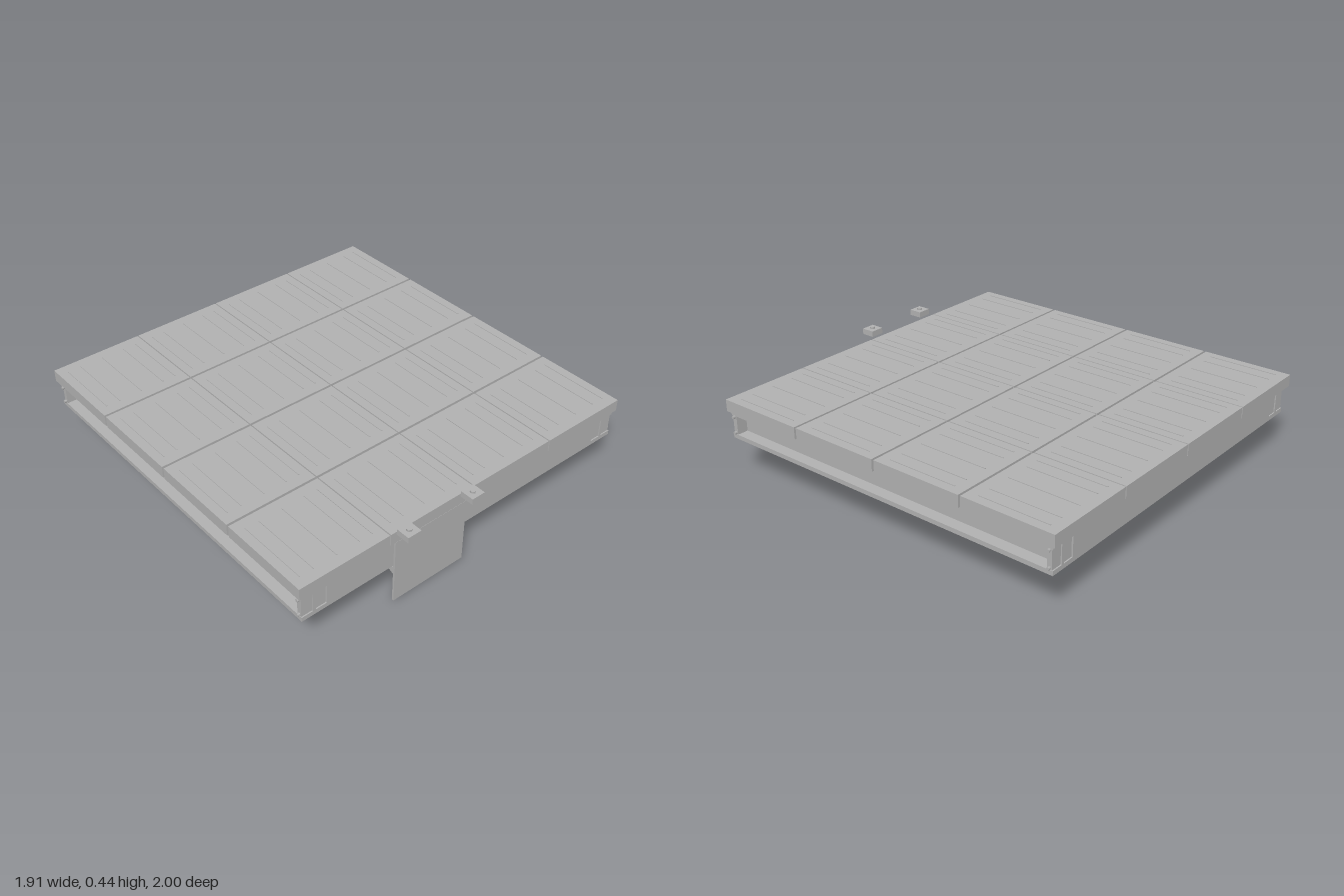
import * as THREE from 'three';

export function createModel() {
  const root = new THREE.Group();
  const steel = new THREE.MeshStandardMaterial({ color: 0xb0b0b0 });
  steel.name = 'grey steel';

  // Box given by its limits on each axis
  function box(name, x0, x1, y0, y1, z0, z1, parent = root) {
    const m = new THREE.Mesh(new THREE.BoxGeometry(x1 - x0, y1 - y0, z1 - z0), steel);
    m.position.set((x0 + x1) / 2, (y0 + y1) / 2, (z0 + z1) / 2);
    m.name = name;
    parent.add(m);
    return m;
  }
  function bolt(name, x, y, z, r, h, axis) {
    const m = new THREE.Mesh(new THREE.CylinderGeometry(r, r, h, 6), steel);
    if (axis === 'x') m.rotation.z = Math.PI / 2;
    if (axis === 'z') m.rotation.x = Math.PI / 2;
    m.position.set(x, y, z);
    m.name = name;
    root.add(m);
  }
  // I-section running along z
  function beam(name, x, width, y0, y1, z0, z1, t) {
    const g = new THREE.Group();
    g.name = name;
    const h = width / 2;
    box('bottomFlange', x - h, x + h, y0, y0 + t, z0, z1, g);
    box('topFlange', x - h, x + h, y1 - t, y1, z0, z1, g);
    box('web', x - t / 3, x + t / 3, y0 + t, y1 - t, z0, z1, g);
    root.add(g);
  }

  // Deck panels in a four by four grid, with raised grip strips
  const back = -1, front = 0.915, gap = 0.012;
  const depth = (front - back - 3 * gap) / 4;
  for (let i = 0; i < 4; i++) {
    for (let j = 0; j < 4; j++) {
      const x = -0.72 + i * 0.48, z = back + depth / 2 + j * (depth + gap);
      box('deckPanel', x - 0.237, x + 0.237, 0.34, 0.4, z - depth / 2, z + depth / 2);
      for (const o of [-0.19, -0.12, 0, 0.12, 0.19])
        box('gripStrip', x + o - 0.002, x + o + 0.002, 0.4, 0.403, z - 0.18, z + 0.18);
    }
  }

  // Side beams with end plates and bolts
  for (const s of [-1, 1]) {
    beam('sideBeam', s * 0.875, 0.13, 0.2, 0.34, -0.98, 0.905, 0.022);
    for (const z of [-0.962, 0.887]) {
      box('endPlate', s * 0.875 - 0.063, s * 0.875 + 0.063, 0.222, 0.318, z - 0.012, z + 0.012);
      for (const y of [0.23, 0.312]) bolt('endBolt', s * 0.94, y, z, 0.008, 0.02, 'x');
    }
  }

  // Front and back channels, open towards the inside
  for (const [outer, s] of [[0.905, -1], [-0.98, 1]]) {
    const lim = (a, b) => [Math.min(a, b), Math.max(a, b)];
    const inner = lim(outer, outer + s * 0.13), web = lim(outer, outer + s * 0.014);
    box('channelWeb', -0.81, 0.81, 0.222, 0.318, ...web);
    box('channelBottom', -0.81, 0.81, 0.2, 0.222, ...inner);
    box('channelTop', -0.81, 0.81, 0.318, 0.34, ...inner);
  }

  // Joists below the panel seams
  for (const x of [-0.48, 0, 0.48]) {
    beam('joist', x, 0.075, 0.24, 0.34, -0.85, 0.775, 0.014);
    for (const z of [-0.9, 0.825])
      box('joistCleat', x - 0.012, x + 0.012, 0.25, 0.318, z - 0.07, z + 0.07);
  }

  // Front mounting plate, with sloping braces up to a cross member
  box('mountingPlate', -0.45, -0.04, 0, 0.34, 0.906, 0.916);
  box('crossMember', -0.46, -0.02, 0.24, 0.32, 0.42, 0.5);
  const a = new THREE.Vector3(0, 0.048, 0.9), b = new THREE.Vector3(0, 0.25, 0.42);
  for (const x of [-0.36, -0.13]) {
    const brace = new THREE.Mesh(new THREE.BoxGeometry(0.045, 0.036, a.distanceTo(b)), steel);
    brace.position.copy(a).add(b).multiplyScalar(0.5).setX(x);
    brace.rotation.x = Math.atan2(b.y - a.y, a.z - b.z);
    brace.name = 'brace';
    root.add(brace);
  }
  for (const x of [-0.42, -0.245, -0.07])
    for (const y of [0.055, 0.16]) bolt('plateBolt', x, y, 0.902, 0.011, 0.012, 'z');

  // Clamp blocks in front of the deck edge
  for (const x of [-0.425, -0.06]) {
    box('clampBlock', x - 0.036, x + 0.036, 0.404, 0.434, 0.93, 1);
    bolt('clampBolt', x, 0.438, 0.965, 0.014, 0.01, 'y');
  }
  return root;
}
